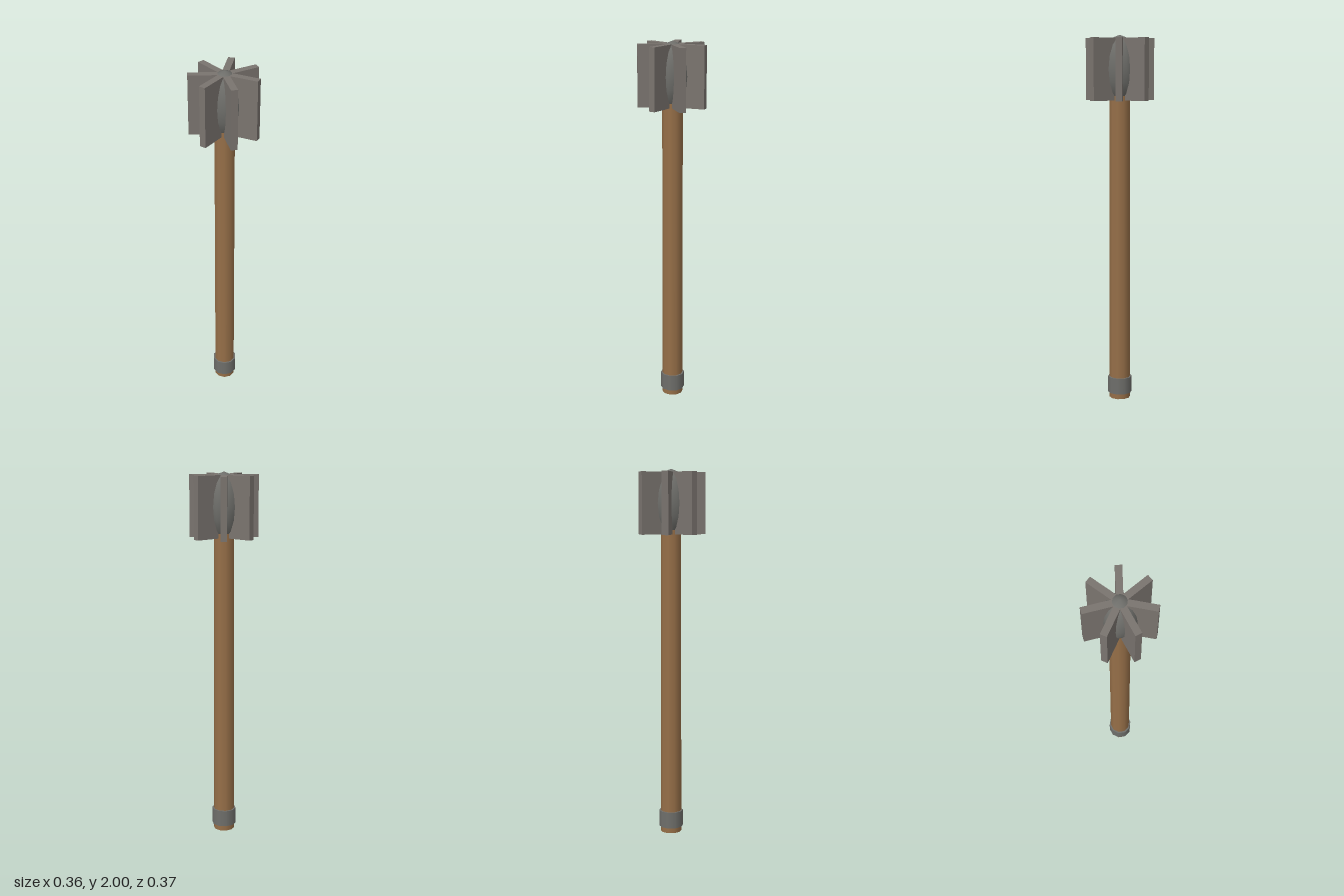
import * as THREE from 'three';

export function createModel() {
  const group = new THREE.Group();
  const wood = new THREE.MeshStandardMaterial({ name: 'wood', color: 0x966f48 });
  const steel = new THREE.MeshStandardMaterial({ name: 'steel', color: 0x7a746f });
  const iron = new THREE.MeshStandardMaterial({ name: 'darkIron', color: 0x6f6f6b });
  const axisX = 0.003;
  const sides = 10;

  const add = (name, geometry, material, y) => {
    const mesh = new THREE.Mesh(geometry, material);
    mesh.name = name;
    mesh.position.set(axisX, y, 0);
    group.add(mesh);
    return mesh;
  };

  // Ten-sided cylinder with a corner on the x axis
  const rod = (top, bottom, height) =>
    new THREE.CylinderGeometry(top, bottom, height, sides).rotateY(Math.PI / 2);

  // Slightly tapered handle and its collar
  add('handle', rod(0.0545, 0.0575, 1.72), wood, 0.86);
  add('collar', rod(0.066, 0.066, 0.09), iron, 0.075);

  // Elongated core of the head
  add('headCore', new THREE.SphereGeometry(0.092, sides, 8).scale(1, 0.18 / 0.092, 1), iron, 1.82);

  // Seven flanges around the core
  const inner = 0.02, outer = 0.184;
  const flange = new THREE.BoxGeometry(outer - inner, 0.33, 0.035)
    .translate((inner + outer) / 2, 0, 0);
  for (let i = 0; i < 7; i++) {
    const mesh = add('flange' + (i + 1), flange, steel, 1.819);
    mesh.rotation.y = Math.PI + (i * Math.PI * 2) / 7;
  }

  return group;
}
